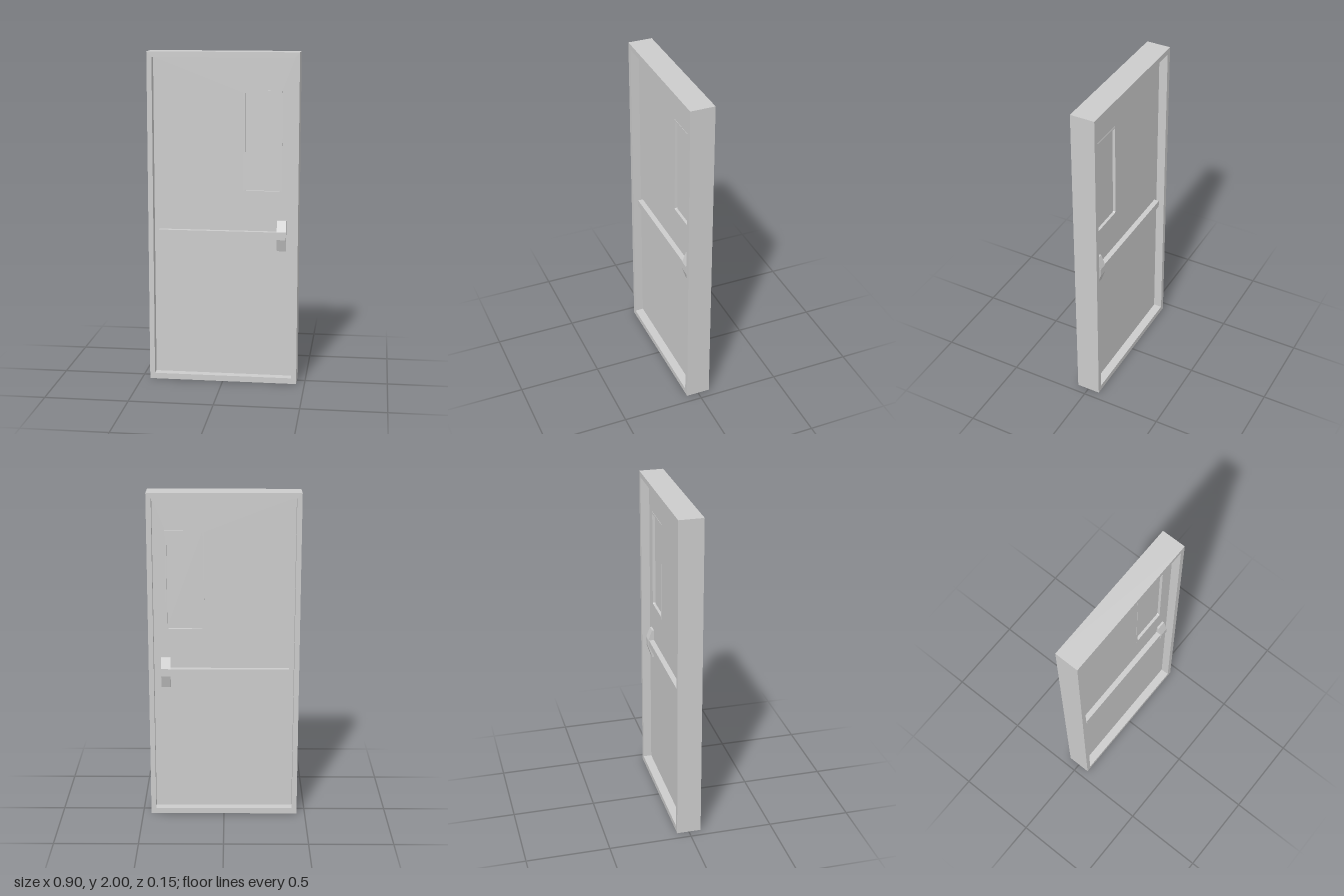
import * as THREE from 'three';

const grey = new THREE.MeshStandardMaterial({ color: 0xcccccc, flatShading: true });

function rectPath(path, x0, y0, x1, y1, r = 0) {
  if (r === 0) {
    path.moveTo(x0, y0).lineTo(x1, y0).lineTo(x1, y1).lineTo(x0, y1).closePath();
    return path;
  }
  // rectangle with small cut corners
  path.moveTo(x0 + r, y0).lineTo(x1 - r, y0).lineTo(x1, y0 + r).lineTo(x1, y1 - r);
  path.lineTo(x1 - r, y1).lineTo(x0 + r, y1).lineTo(x0, y1 - r).lineTo(x0, y0 + r).closePath();
  return path;
}

// Rectangular slab with a rectangular opening, centred on z = 0
function ring(outer, inner, depth, r = 0) {
  const shape = rectPath(new THREE.Shape(), ...outer);
  shape.holes.push(rectPath(new THREE.Path(), ...inner, r));
  const geo = new THREE.ExtrudeGeometry(shape, { depth, bevelEnabled: false });
  return geo.translate(0, 0, -depth / 2);
}

// Side profile of [z, y] points swept along x; side = 1 front, -1 back
function sweepX(profile, x0, x1, side) {
  const shape = new THREE.Shape(profile.map(([z, y]) => new THREE.Vector2(-z * side, y)));
  const geo = new THREE.ExtrudeGeometry(shape, { depth: x1 - x0, bevelEnabled: false });
  return geo.rotateY(Math.PI / 2).translate(x0, 0, 0);
}

export function createModel() {
  const model = new THREE.Group();
  model.name = 'door';
  const add = (name, geo) => {
    const mesh = new THREE.Mesh(geo, grey);
    mesh.name = name;
    model.add(mesh);
    return mesh;
  };

  const face = 0.021; // half thickness of the door leaf
  const opening = [-0.42, 0.035, 0.42, 1.968];
  const pane = [0.127, 1.176, 0.338, 1.763];

  // Surrounding frame, leaf with its window opening, and recessed pane
  add('doorFrame', ring([-0.45, 0, 0.45, 2], opening, 0.147));
  add('doorLeaf', ring(opening, pane, face * 2, 0.006));
  const glass = add('windowPane', new THREE.BoxGeometry(0.215, 0.591, 0.012));
  glass.position.set(0.2325, 1.4695, 0);

  // Thin trim around the window, just proud of both faces
  add('windowTrim', ring([0.117, 1.166, 0.348, 1.773], pane, face * 2 + 0.004, 0.006));

  // Push bar and tapered latch housing on both faces
  const bar = [[face, 0.89], [0.053, 0.89], [0.053, 0.933], [face, 0.933]];
  const latch = [[face, 0.815], [0.033, 0.815], [0.058, 0.888], [0.058, 0.935], [0.033, 1.0], [face, 1.0]];
  for (const [label, side] of [['front', 1], ['back', -1]]) {
    add(label + 'PushBar', sweepX(bar, -0.39, 0.325, side));
    add(label + 'LatchHousing', sweepX(latch, 0.322, 0.377, side));
  }
  return model;
}
